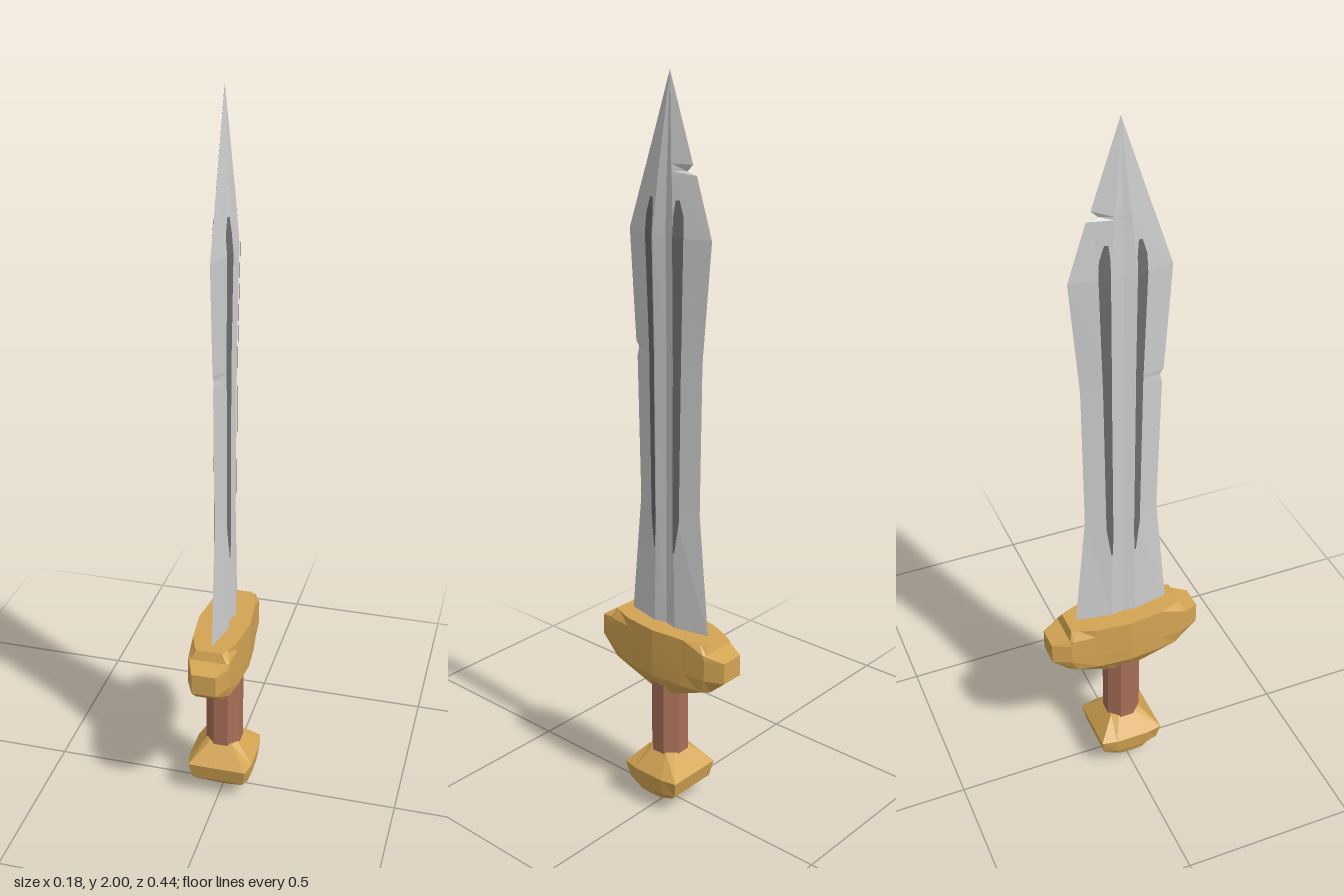
import * as THREE from 'three';

const mat = (name, color, side = THREE.FrontSide) =>
  Object.assign(new THREE.MeshStandardMaterial({ color, flatShading: true, side }), { name });

// Faceted solid through stacked rings: { y, pts: [[x, z], ...] }, closed with end caps
function loft(rings) {
  const pos = [];
  const n = rings[0].pts.length;
  const at = (r, i) => [r.pts[i % n][0], r.y, r.pts[i % n][1]];
  for (let k = 0; k < rings.length - 1; k++) {
    const b = rings[k], t = rings[k + 1];
    for (let i = 0; i < n; i++) {
      pos.push(...at(b, i), ...at(t, i), ...at(t, i + 1));
      pos.push(...at(b, i), ...at(t, i + 1), ...at(b, i + 1));
    }
  }
  const lo = rings[0], hi = rings[rings.length - 1];
  for (let i = 0; i < n; i++) {
    pos.push(0, lo.y, 0, ...at(lo, i), ...at(lo, i + 1));
    pos.push(0, hi.y, 0, ...at(hi, i + 1), ...at(hi, i));
  }
  return toGeometry(pos);
}

function toGeometry(pos) {
  const g = new THREE.BufferGeometry();
  g.setAttribute('position', new THREE.Float32BufferAttribute(pos, 3));
  g.computeVertexNormals();
  return g;
}

// Mirrors a quarter outline (first point on z = 0) into a full ring
function mirrored(y, quarter) {
  const rev = [...quarter].reverse();
  const pts = [
    ...quarter,
    ...rev.map(([x, z]) => [-x, z]),
    ...quarter.slice(1).map(([x, z]) => [-x, -z]),
    ...rev.slice(0, -1).map(([x, z]) => [x, -z]),
  ];
  return { y, pts };
}

// Blade stations: y, edge at +z, edge at -z, ridge height on +x, ridge height on -x, ridge z
const STATIONS = [
  [0.50, 0.138, 0.138, 0.022, 0.018, 0.036],
  [0.55, 0.135, 0.135, 0.022, 0.018, 0.036],
  [0.89, 0.103, 0.103, 0.022, 0.018, 0.030],
  [1.28, 0.112, 0.108, 0.023, 0.018, 0.032],
  [1.305, 0.106, 0.109, 0.023, 0.018, 0.032],
  [1.32, 0.116, 0.110, 0.023, 0.018, 0.032],
  [1.61, 0.135, 0.135, 0.028, 0.020, 0.034],
  [1.76, 0.083, 0.086, 0.019, 0.015, 0.022],
  [1.768, 0.080, 0.056, 0.018, 0.015, 0.021],
  [1.785, 0.074, 0.074, 0.017, 0.014, 0.019],
  [2.00, 0.0005, 0.0005, 0.0003, 0.0003, 0.0002],
];

const bladeRing = ([y, wp, wn, xp, xn, r]) => ({
  y,
  pts: [[xp * 0.6, 0], [xp, r], [0, wp], [-xn, r], [-xn * 0.8, 0], [-xn, -r], [0, -wn], [xp, -r]],
});

function stationAt(y) {
  const k = STATIONS.findIndex((s) => s[0] >= y);
  const a = STATIONS[k - 1], b = STATIONS[k];
  const t = (y - a[0]) / (b[0] - a[0]);
  return a.map((v, i) => v + (b[i] - v) * t);
}

// Dark strip laid on one blade bevel; sx and sz pick the face
function fullerStrip(sx, sz) {
  const spans = [[0.77, 0.031, 0.036], [0.86, 0.030, 0.048], [1.25, 0.032, 0.053],
    [1.305, 0.032, 0.054], [1.61, 0.034, 0.063], [1.66, 0.034, 0.061], [1.70, 0.038, 0.048]];
  const point = (y, z) => {
    const [, wp, wn, xp, xn, r] = stationAt(y);
    const w = sz > 0 ? wp : wn;
    const h = (sx > 0 ? xp : xn) * Math.min(1, (w - z) / (w - r));
    return [sx * (h + 0.0025), y, sz * z];
  };
  const pos = [];
  for (let i = 0; i < spans.length - 1; i++) {
    const [y0, a0, b0] = spans[i], [y1, a1, b1] = spans[i + 1];
    const p = point(y0, a0), q = point(y0, b0), r = point(y1, b1), s = point(y1, a1);
    // keep the outward side as the front
    if (sx * sz > 0) pos.push(...p, ...s, ...r, ...p, ...r, ...q);
    else pos.push(...p, ...r, ...s, ...p, ...q, ...r);
  }
  return toGeometry(pos);
}

export function createModel() {
  const steel = mat('steel', 0xcccccc);
  const darkSteel = mat('darkSteel', 0x6c6c6c, THREE.DoubleSide);
  const gold = mat('gold', 0xd4a553);
  const leather = mat('leather', 0xa87058);

  const model = new THREE.Group();
  model.name = 'sword';
  const add = (name, geometry, material) => {
    const mesh = new THREE.Mesh(geometry, material);
    mesh.name = name;
    model.add(mesh);
    return mesh;
  };

  // Leaf-shaped blade with nicked edges
  add('blade', loft(STATIONS.map(bladeRing)), steel);
  for (const sx of [1, -1])
    for (const sz of [1, -1]) add('fullerStrip', fullerStrip(sx, sz), darkSteel);

  // Crossguard, tapering under towards the grip
  add('guard', loft([
    mirrored(0.355, [[0.035, 0], [0.035, 0.025], [0.034, 0.04], [0.025, 0.052]]),
    mirrored(0.41, [[0.07, 0], [0.062, 0.09], [0.052, 0.15], [0.034, 0.175]]),
    mirrored(0.45, [[0.072, 0], [0.062, 0.1], [0.057, 0.17], [0.033, 0.22]]),
    mirrored(0.51, [[0.073, 0], [0.062, 0.1], [0.057, 0.17], [0.033, 0.22]]),
    mirrored(0.525, [[0.073, 0], [0.062, 0.1], [0.057, 0.165], [0.05, 0.172]]),
    mirrored(0.55, [[0.073, 0], [0.062, 0.1], [0.045, 0.145], [0.036, 0.163]]),
  ]), gold);

  // Eight-sided grip
  const grip = add('grip', new THREE.CylinderGeometry(0.053, 0.053, 0.3, 8), leather);
  grip.rotation.y = Math.PI / 8;
  grip.position.y = 0.27;

  // Chunky faceted pommel
  add('pommel', loft([
    mirrored(0.0, [[0.018, 0], [0.018, 0.01], [0.014, 0.018]]),
    mirrored(0.04, [[0.08, 0], [0.078, 0.035], [0.062, 0.062]]),
    mirrored(0.06, [[0.086, 0], [0.085, 0.045], [0.074, 0.083]]),
    mirrored(0.108, [[0.092, 0], [0.092, 0.05], [0.083, 0.093]]),
    mirrored(0.165, [[0.045, 0], [0.045, 0.025], [0.033, 0.045]]),
  ]), gold);

  return model;
}
